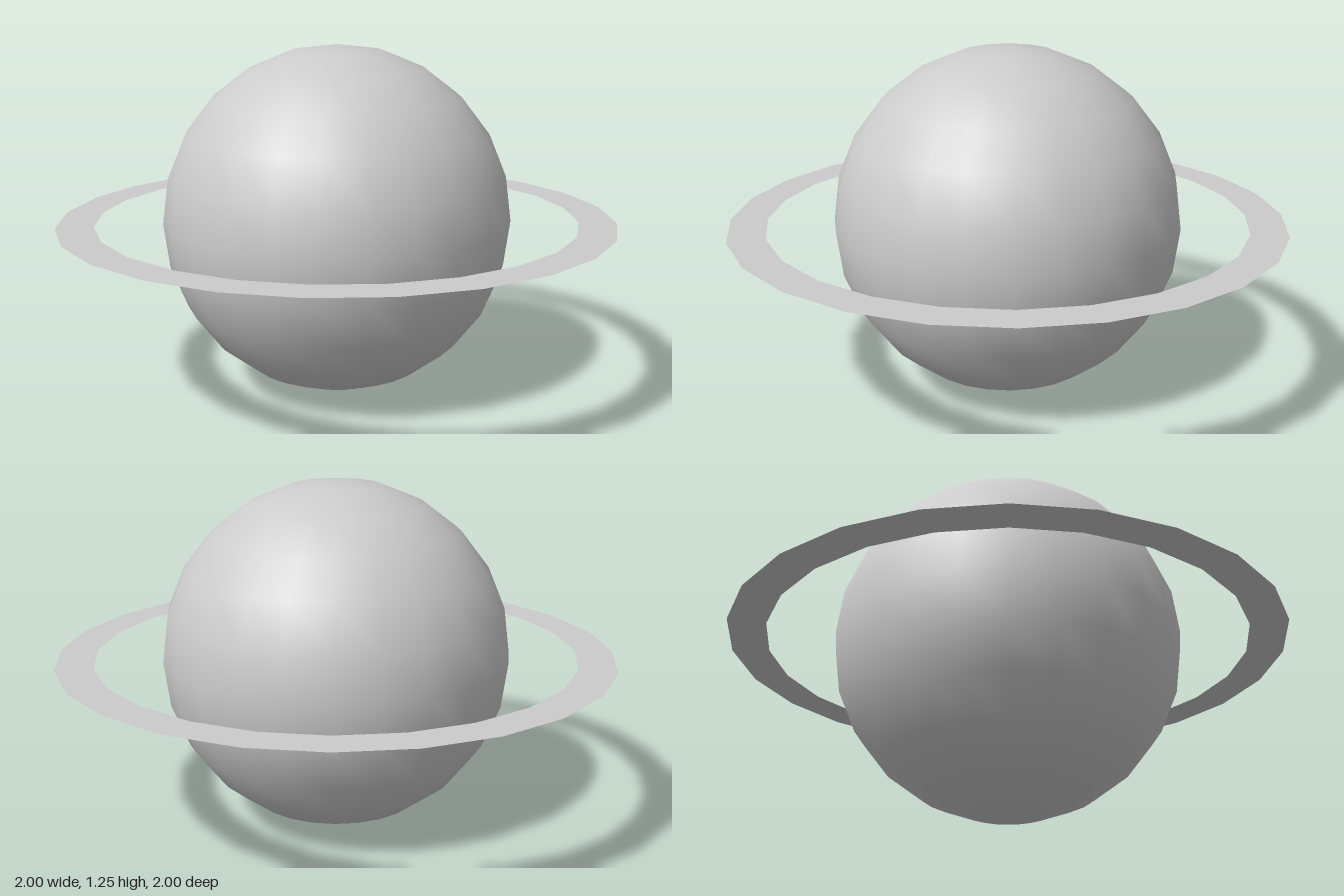
import * as THREE from 'three';

const RADIUS = 0.625;
const SEGMENTS = 24;

export function createModel() {
  const model = new THREE.Group();
  model.name = 'ringedPlanet';

  // Smooth globe standing on the ground
  const globe = new THREE.Mesh(
    new THREE.SphereGeometry(RADIUS, SEGMENTS, SEGMENTS / 2),
    new THREE.MeshStandardMaterial({ color: 0xcccccc })
  );
  globe.name = 'globe';
  globe.position.y = RADIUS;
  model.add(globe);

  // Paper-thin flat ring around the equator, seen from both sides
  const ring = new THREE.Mesh(
    new THREE.RingGeometry(0.866, 1, SEGMENTS).rotateX(-Math.PI / 2),
    new THREE.MeshStandardMaterial({ color: 0xcccccc, side: THREE.DoubleSide })
  );
  ring.name = 'ring';
  ring.position.y = RADIUS;
  model.add(ring);

  return model;
}
